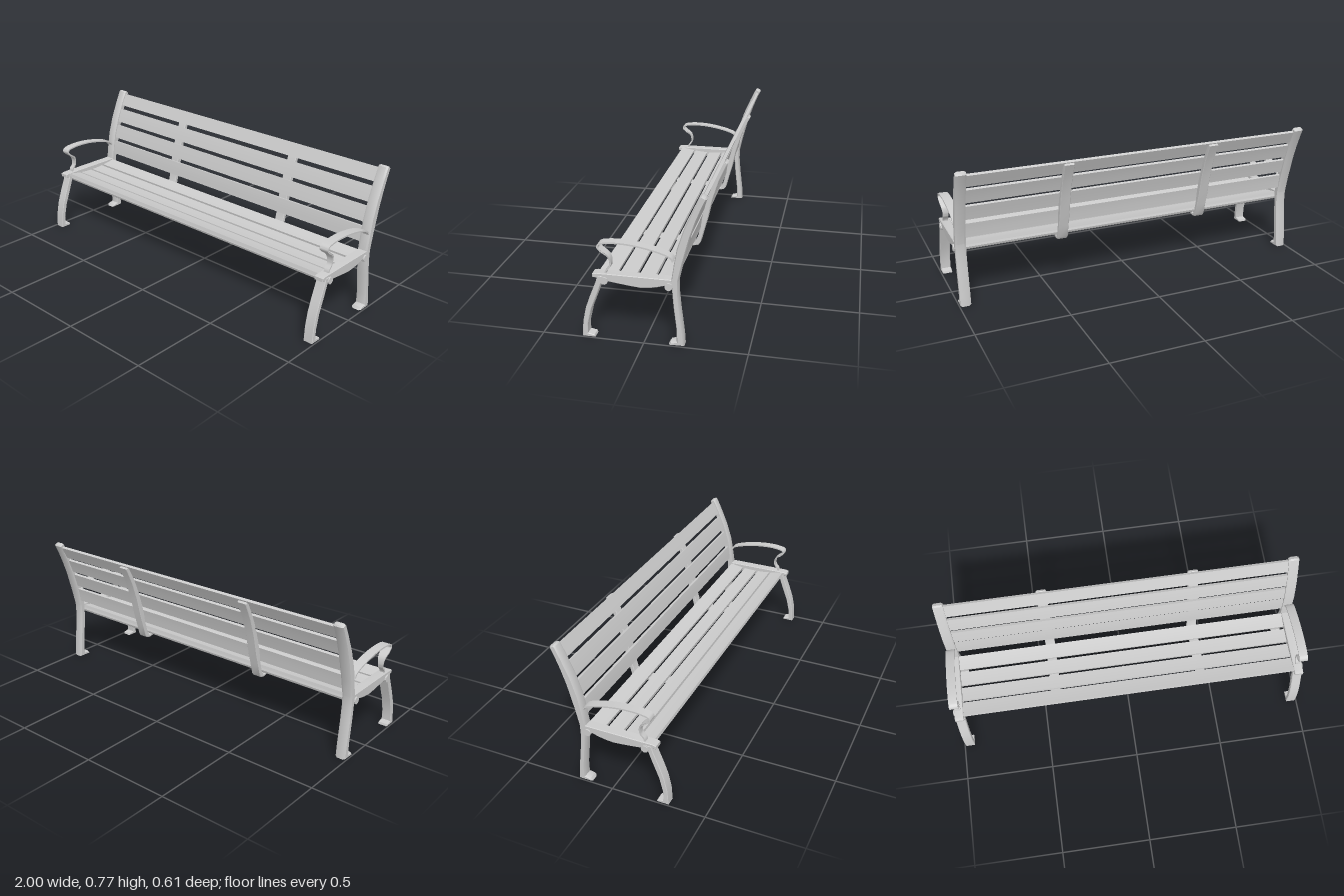
import * as THREE from 'three';
import { toCreasedNormals } from 'three/addons/utils/BufferGeometryUtils.js';

const material = new THREE.MeshStandardMaterial({ color: 0xcccccc });

// Side profile given as [z, y] points, extruded along x and centred on x = 0
function profile(points, width, bevel = 0, bevelDepth = bevel) {
  const shape = new THREE.Shape(points.map(([z, y]) => new THREE.Vector2(z, y)));
  const depth = width - 2 * bevelDepth;
  const geometry = new THREE.ExtrudeGeometry(shape, {
    depth, bevelEnabled: bevel > 0, bevelSize: bevel, bevelOffset: -bevel,
    bevelThickness: bevelDepth, bevelSegments: 1,
  });
  geometry.translate(0, 0, -depth / 2);
  geometry.rotateY(-Math.PI / 2);
  return geometry;
}

// Outline of a strip of constant thickness around a [z, y] path
function strip(path, thickness) {
  const sides = [[], []];
  path.forEach(([z, y], i) => {
    const a = path[Math.max(i - 1, 0)], b = path[Math.min(i + 1, path.length - 1)];
    const dz = b[0] - a[0], dy = b[1] - a[1];
    const k = thickness / 2 / Math.hypot(dz, dy);
    sides[0].push([z - dy * k, y + dz * k]);
    sides[1].push([z + dy * k, y - dz * k]);
  });
  return [...sides[0], ...sides[1].reverse()];
}

function sample(fn, from, to, steps) {
  return Array.from({ length: steps + 1 }, (_, i) => fn(from + (to - from) * i / steps));
}

export function createModel() {
  const bench = new THREE.Group();
  bench.name = 'bench';

  function add(name, geometry, x = 0) {
    const mesh = new THREE.Mesh(toCreasedNormals(geometry, 0.5), material);
    mesh.name = name;
    mesh.position.x = x;
    bench.add(mesh);
  }

  // Centre lines that the slats follow
  const seatLine = z => [z, 0.31 + 0.024 * ((z - 0.03) / 0.19) ** 2];
  const backSpline = new THREE.SplineCurve([
    [-0.157, 0.36], [-0.17, 0.45], [-0.197, 0.55], [-0.232, 0.65], [-0.278, 0.746],
  ].map(p => new THREE.Vector2(...p)));
  const backLine = y => {
    let lo = 0, hi = 1;
    for (let i = 0; i < 20; i++) {
      const mid = (lo + hi) / 2;
      if (backSpline.getPoint(mid).y < y) lo = mid; else hi = mid;
    }
    return [backSpline.getPoint(lo).x, y];
  };

  // Seat and back slats
  const slatLength = 1.9;
  for (const [front, rear] of [[0.22, 0.14], [0.128, 0.05], [0.035, -0.043], [-0.058, -0.138]]) {
    add('seatSlat', profile(strip(sample(seatLine, front, rear, 4), 0.016), slatLength, 0.003));
  }
  for (const [low, high] of [[0.375, 0.455], [0.478, 0.557], [0.578, 0.656], [0.677, 0.745]]) {
    add('backSlat', profile(strip(sample(backLine, low, high, 4), 0.016), slatLength, 0.003));
  }

  // Round rails under the seat
  for (const z of [0.187, -0.122]) {
    const rail = new THREE.CylinderGeometry(0.019, 0.019, 2, 10);
    rail.rotateZ(Math.PI / 2);
    rail.translate(0, 0.309, z);
    add('seatRail', rail);
  }

  // Bent brackets behind the back and under the seat
  const bracket = [
    ...sample(seatLine, 0.14, 0, 4).map(([z, y]) => [z, y - 0.007]),
    [-0.03, 0.302], [-0.08, 0.297], [-0.132, 0.284], [-0.148, 0.305],
    ...sample(backLine, 0.37, 0.725, 6).map(([z, y]) => [z - 0.006, y]),
    [-0.291, 0.739], [-0.302, 0.732], [-0.288, 0.703],
    [-0.258, 0.635], [-0.225, 0.53], [-0.201, 0.42], [-0.183, 0.355], [-0.166, 0.288],
    [-0.155, 0.274], [-0.13, 0.268], [-0.08, 0.28], [-0.03, 0.292], [0.02, 0.289], [0.14, 0.304],
  ];

  // End frame pieces
  const frontLeg = [
    [0.304, 0], [0.241, 0], [0.245, 0.012], [0.277, 0.018], [0.276, 0.07], [0.257, 0.15],
    [0.224, 0.235], [0.19, 0.33], [0.22, 0.33], [0.228, 0.3], [0.26, 0.22],
    [0.283, 0.155], [0.299, 0.08],
  ];
  const seatEnd = [
    [0.245, 0.32], [0.245, 0.338], [0.225, 0.343], [-0.14, 0.343], [-0.14, 0.315],
    [-0.105, 0.31], [-0.065, 0.298], [-0.03, 0.291], [0.015, 0.287], [0.06, 0.291],
    [0.12, 0.298], [0.18, 0.306], [0.21, 0.317],
  ];
  const upright = [
    [-0.118, 0], [-0.194, 0], [-0.19, 0.06], [-0.173, 0.2], [-0.166, 0.28], [-0.167, 0.34],
    [-0.187, 0.43], [-0.221, 0.56], [-0.248, 0.64], [-0.278, 0.715], [-0.295, 0.75],
    [-0.29, 0.758], [-0.273, 0.766], [-0.264, 0.76], [-0.235, 0.7], [-0.192, 0.6],
    [-0.16, 0.5], [-0.147, 0.43], [-0.133, 0.34], [-0.138, 0.26], [-0.143, 0.2],
    [-0.157, 0.08], [-0.157, 0.021], [-0.128, 0.016],
  ];

  // Armrest: a flat looped strip, narrower where it meets the seat
  const armSpline = new THREE.SplineCurve([
    [0.183, 0.34], [0.178, 0.357], [0.16, 0.38], [0.158, 0.408], [0.168, 0.434], [0.196, 0.456],
    [0.214, 0.473], [0.21, 0.489], [0.19, 0.498], [0.13, 0.504], [0.04, 0.499],
    [-0.06, 0.48], [-0.125, 0.457], [-0.141, 0.435],
  ].map(p => new THREE.Vector2(...p)));
  const armPath = armSpline.getPoints(44).map(p => [p.x, p.y]);
  const armrest = profile(strip(armPath, 0.008), 0.048);
  const pos = armrest.attributes.position;
  for (let i = 0; i < pos.count; i++) {
    if (pos.getZ(i) < 0.1) continue;
    const waist = THREE.MathUtils.smoothstep(pos.getY(i), 0.39, 0.46);
    pos.setX(i, pos.getX(i) * (0.6 + 0.4 * waist));
  }

  for (const side of [1, -1]) {
    add('backBracket', profile(bracket, 0.055, 0.003), side * 0.415);
    add('frontLeg', profile(frontLeg, 0.054, 0.003), side * 0.967);
    add('seatEnd', profile(seatEnd, 0.05, 0.003), side * 0.967);
    add('rearLegAndUpright', profile(upright, 0.056, 0.005, 0.01), side * 0.967);
    add('armrest', armrest, side * 0.969);
  }
  return bench;
}
